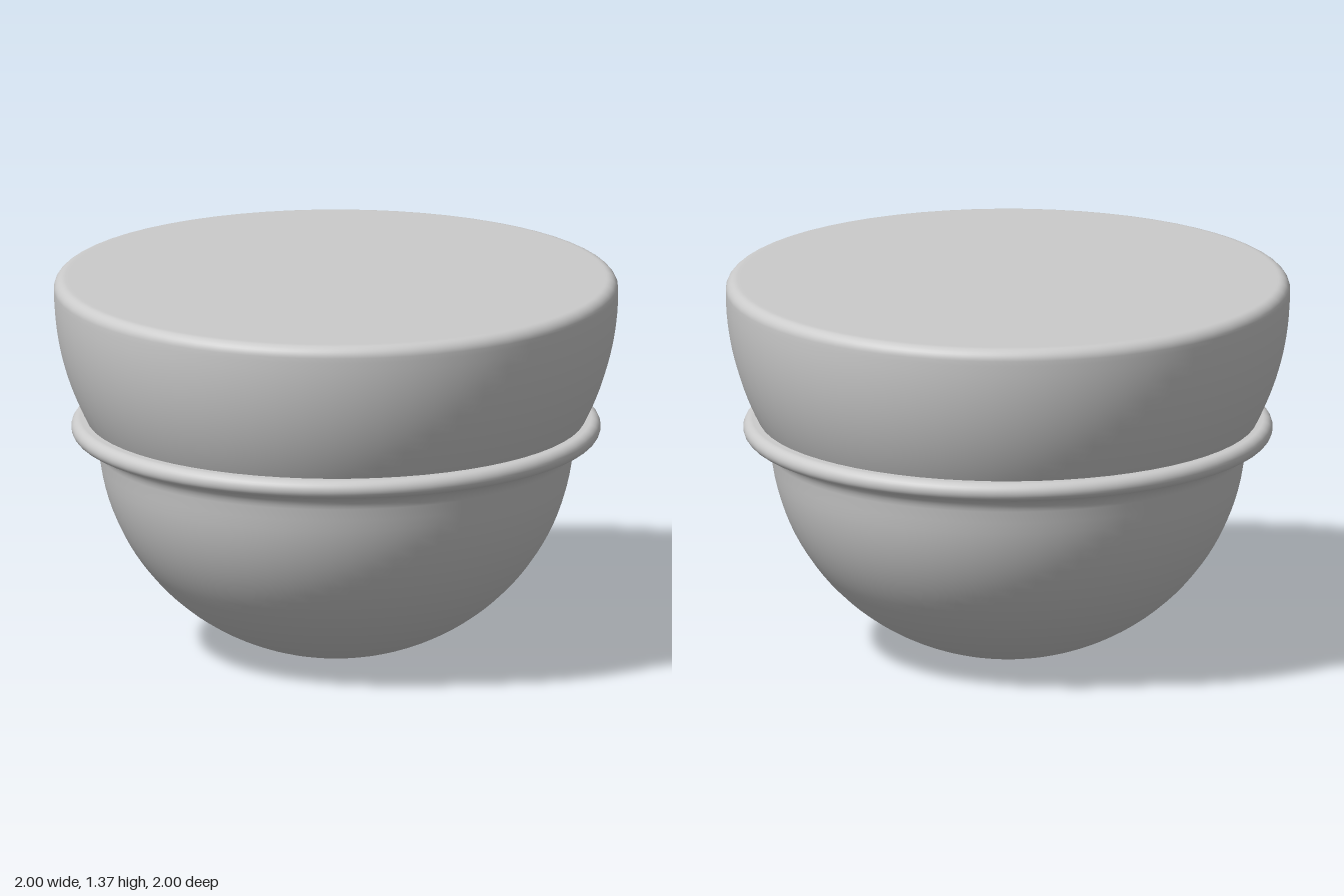
import * as THREE from 'three';

const SEGMENTS = 64;

// points along an elliptical arc in the profile plane, angles in degrees
function arc(cx, cy, rx, ry, from, to, steps) {
  return Array.from({ length: steps + 1 }, (_, i) => {
    const a = THREE.MathUtils.degToRad(from + ((to - from) * i) / steps);
    return new THREE.Vector2(Math.max(0, cx + rx * Math.cos(a)), cy + ry * Math.sin(a));
  });
}

export function createModel() {
  const group = new THREE.Group();
  const material = new THREE.MeshStandardMaterial({ color: 0xcccccc });

  function addLathe(name, points) {
    const mesh = new THREE.Mesh(new THREE.LatheGeometry(points, SEGMENTS), material);
    mesh.name = name;
    group.add(mesh);
  }

  // rounded lower dome, flaring through a small fillet into the ring
  addLathe('lowerDome', [
    ...arc(0, 0.8, 0.842, 0.8, -90, -8, 28),
    ...arc(0.904, 0.72, 0.064, 0.07, 170, 90, 8),
  ]);

  // upper bowl with a soft rim and a closed flat top
  addLathe('upperBowl', [
    ...arc(0, 1.325, 1, 1, -31, -1, 16),
    ...arc(0.96, 1.325, 0.04, 0.04, 0, 90, 8),
    new THREE.Vector2(0.95, 1.365),
    new THREE.Vector2(0, 1.365),
  ]);

  // raised band around the waist
  addLathe('waistRing', [
    new THREE.Vector2(0.83, 0.79),
    ...arc(0.905, 0.823, 0.033, 0.033, -90, 90, 14),
    new THREE.Vector2(0.83, 0.856),
  ]);

  return group;
}
